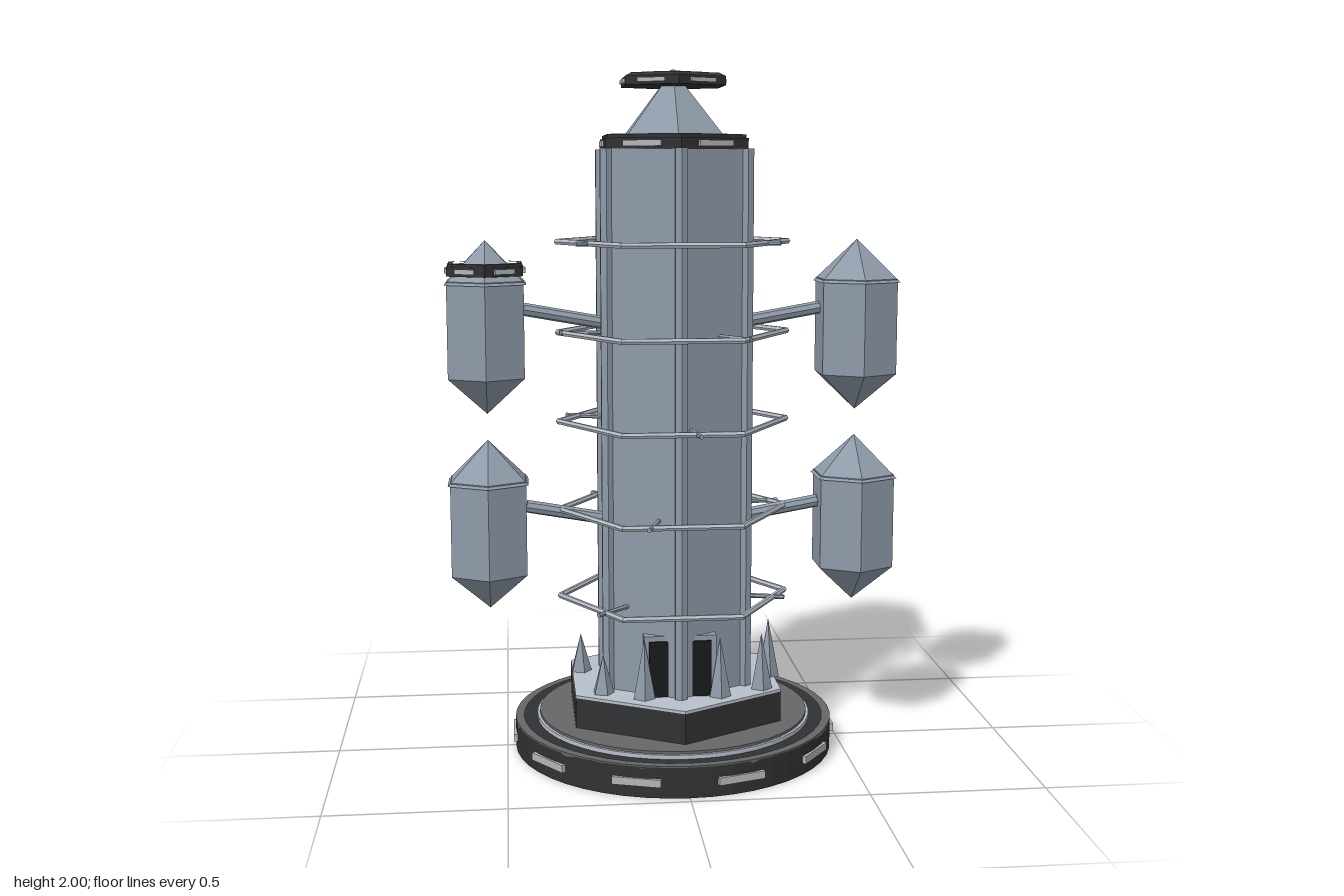
import * as THREE from 'three';

const mat = (color, flatShading = true) => new THREE.MeshStandardMaterial({ color, flatShading });
const HULL = mat(0x8f9ba9), PALE = mat(0xb8c0ca), DARK = mat(0x303132), BLACK = mat(0x18191a);
const DECK = mat(0x666666), LAMP = mat(0xb4b6b8);
const V = (x, y, z) => new THREE.Vector3(x, y, z);

function add(parent, name, geometry, material, x = 0, y = 0, z = 0) {
  const mesh = new THREE.Mesh(geometry, material);
  mesh.name = name;
  mesh.position.set(x, y, z);
  parent.add(mesh);
  return mesh;
}

// Prism or frustum from height y0 to y1; six sides put corners on +z and -z
function prism(parent, name, material, r0, r1, y0, y1, sides = 6) {
  const g = new THREE.CylinderGeometry(r1, r0, y1 - y0, sides);
  return add(parent, name, g, material, 0, (y0 + y1) / 2, 0);
}

// Flat-topped band with a hole, extruded upward
function band(parent, name, material, outer, inner, y, h, sides = 6) {
  const loop = (r) => Array.from({ length: sides }, (_, i) => {
    const a = (i / sides) * Math.PI * 2;
    return new THREE.Vector2(r * Math.sin(a), r * Math.cos(a));
  });
  const shape = new THREE.Shape(loop(outer));
  shape.holes.push(new THREE.Path(loop(inner)));
  const g = new THREE.ExtrudeGeometry(shape, { depth: h, bevelEnabled: false });
  g.rotateX(-Math.PI / 2);
  return add(parent, name, g, material, 0, y, 0);
}

// Straight round bar between two points
function bar(parent, name, a, b, r, material, sides = 8) {
  const dir = b.clone().sub(a);
  const mesh = add(parent, name, new THREE.CylinderGeometry(r, r, dir.length(), sides), material);
  mesh.position.copy(a).add(b).multiplyScalar(0.5);
  mesh.quaternion.setFromUnitVectors(V(0, 1, 0), dir.normalize());
  return mesh;
}

// Lamps set around a rim
function lamps(parent, count, radius, y, width, height, start) {
  for (let i = 0; i < count; i++) {
    const a = start + (i / count) * Math.PI * 2;
    const lamp = add(parent, 'rimLamp', new THREE.BoxGeometry(width, height, 0.014), LAMP,
      Math.sin(a) * radius, y, Math.cos(a) * radius);
    lamp.rotation.y = a;
  }
}

// Dark hexagonal collar with lamps and a turned pale plate inside
function collar(parent, r, y, h) {
  const g = new THREE.Group();
  g.name = 'collar';
  prism(g, 'collarBody', DARK, r, r, y, y + h * 0.75);
  band(g, 'collarLip', DARK, r * 0.97, r * 0.84, y + h * 0.7, h * 0.3);
  band(g, 'collarTrim', PALE, r * 0.92, r * 0.89, y + h * 0.98, h * 0.05);
  prism(g, 'collarPlate', PALE, r * 0.77, r * 0.77, y + h * 0.7, y + h * 0.9).rotation.y = Math.PI / 6;
  lamps(g, 6, r * 0.866, y + h * 0.4, r * 0.5, h * 0.4, Math.PI / 6);
  parent.add(g);
}

function pod(side, dy, capped) {
  const g = new THREE.Group();
  g.name = capped ? 'cappedPod' : 'pod';
  prism(g, 'podBody', HULL, 0.127, 0.127, 1.12, 1.4);
  prism(g, 'podTip', HULL, 0, 0.127, 1.01, 1.12);
  prism(g, 'podRoof', HULL, 0.135, 0, 1.39, 1.515);
  if (capped) collar(g, 0.126, 1.415, 0.036);
  g.position.set(side * 0.545, dy, 0);
  return g;
}

export function createModel() {
  const model = new THREE.Group();
  model.name = 'tower';

  // Round base with stepped deck
  const base = new THREE.Group();
  base.name = 'base';
  model.add(base);
  prism(base, 'baseDrum', DARK, 0.475, 0.475, 0, 0.088, 48);
  band(base, 'outerDeck', DECK, 0.475, 0.45, 0.082, 0.01, 48);
  prism(base, 'deckTrim', PALE, 0.41, 0.41, 0.08, 0.1, 48);
  prism(base, 'innerDeck', DECK, 0.402, 0.402, 0.08, 0.108, 48);
  lamps(base, 10, 0.474, 0.045, 0.14, 0.022, Math.PI / 10);
  prism(base, 'plinth', DARK, 0.348, 0.348, 0.1, 0.197);
  prism(base, 'plinthTop', PALE, 0.348, 0.348, 0.197, 0.205);

  // Hexagonal shaft with a post on every corner
  prism(model, 'shaft', HULL, 0.235, 0.235, 0.2, 1.775);
  for (let i = 0; i < 6; i++) {
    const a = (i * Math.PI) / 3;
    prism(model, 'cornerPost', HULL, 0.02, 0.02, 0.2, 1.775)
      .position.set(Math.sin(a) * 0.232, 0.9875, Math.cos(a) * 0.232);
  }

  // Doorway, split by the front post
  add(model, 'doorFrame', new THREE.BoxGeometry(0.21, 0.185, 0.11), HULL, 0, 0.2925, 0.155);
  add(model, 'door', new THREE.BoxGeometry(0.18, 0.17, 0.12), BLACK, 0, 0.285, 0.155);

  // Top collar, roof cone and landing disc
  collar(model, 0.235, 1.772, 0.042);
  prism(model, 'roof', HULL, 0.165, 0.012, 1.805, 1.985);
  const disc = new THREE.Group();
  disc.name = 'topDisc';
  model.add(disc);
  prism(disc, 'discBody', DARK, 0.165, 0.165, 1.952, 1.977);
  prism(disc, 'discBevel', DARK, 0.165, 0.145, 1.977, 1.987);
  band(disc, 'discRing', PALE, 0.108, 0.078, 1.984, 0.006);
  lamps(disc, 6, 0.143, 1.965, 0.085, 0.012, Math.PI / 6);
  add(disc, 'finial', new THREE.SphereGeometry(0.015, 10, 8), HULL, 0, 1.985, 0);

  // Wire rings, each held by three spokes that turn from level to level
  const levels = [[1.51, 60], [1.247, 35], [0.985, 8], [0.722, -17], [0.46, -45]];
  for (const [y, turn] of levels) {
    const ring = new THREE.TorusGeometry(0.337, 0.009, 6, 6).rotateX(Math.PI / 2);
    add(model, 'wireRing', ring, PALE, 0, y, 0);
    for (let k = 0; k < 3; k++) {
      const a = THREE.MathUtils.degToRad(turn + k * 120);
      const at = (r) => V(Math.sin(a) * r, y, Math.cos(a) * r);
      bar(model, 'ringSpoke', at(0.19), at(0.335), 0.007, HULL, 6);
    }
  }

  // Side pods on sloping arms
  for (const side of [-1, 1]) {
    for (const dy of [0, -0.582]) {
      model.add(pod(side, dy, side < 0 && dy === 0));
      bar(model, 'podArm', V(side * 0.18, 1.27 + dy, 0), V(side * 0.435, 1.315 + dy, 0), 0.019, HULL);
    }
  }

  // Spikes standing on the plinth: x, z, height
  const spikes = [
    [-0.105, 0.215, 0.18], [0.115, 0.215, 0.18], [0.245, 0.155, 0.17], [0.285, 0.03, 0.18],
    [0.21, -0.205, 0.18], [0.09, -0.27, 0.12], [-0.1, -0.27, 0.12], [-0.275, -0.07, 0.12],
    [-0.22, 0.155, 0.12],
  ];
  spikes.forEach(([x, z, h], i) => {
    const spike = add(model, 'spike', new THREE.ConeGeometry(0.034, h, 5), HULL, x, 0.2 + h / 2, z);
    spike.rotation.y = i * 1.3;
  });

  return model;
}
